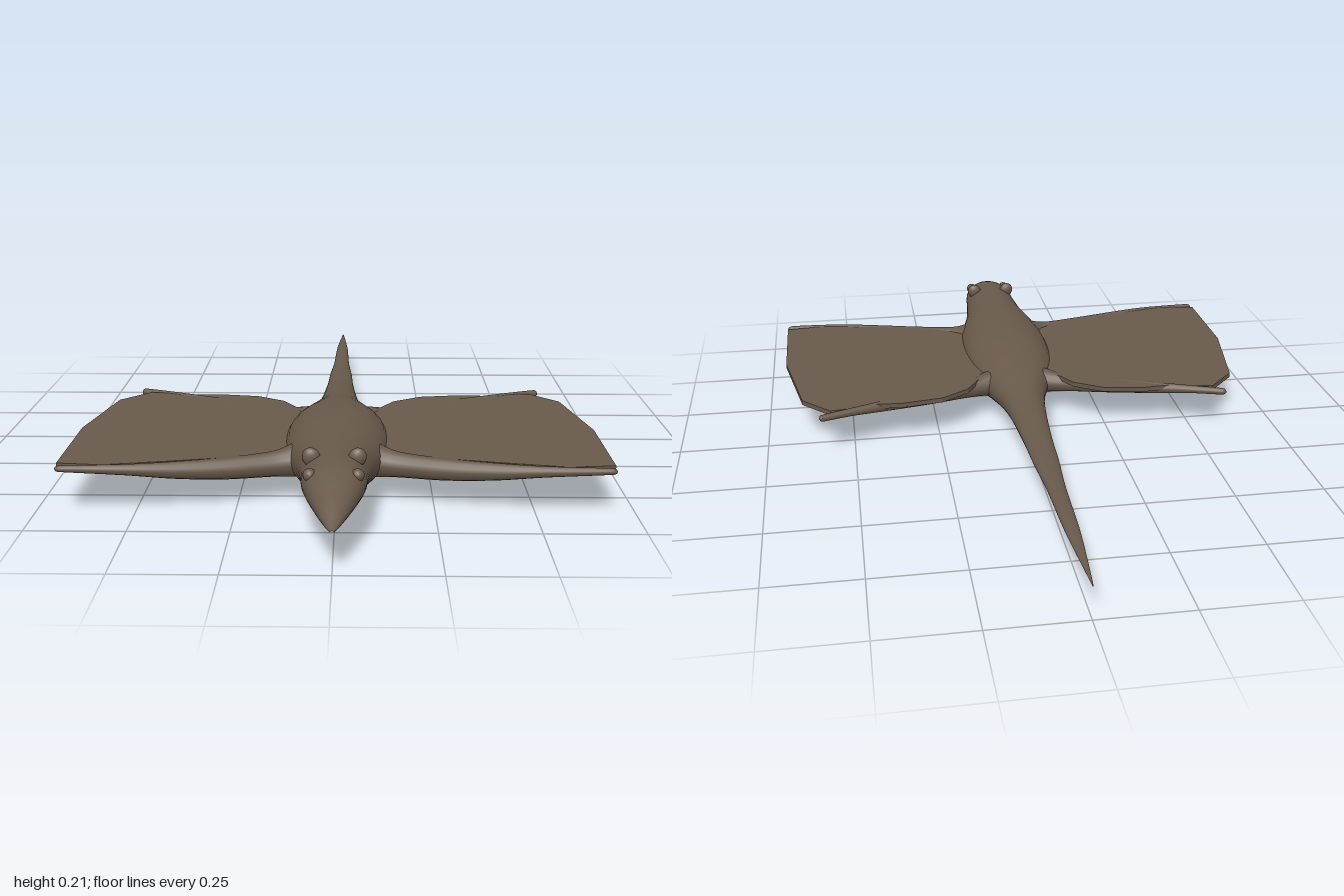
import * as THREE from 'three';

const fur = new THREE.MeshStandardMaterial({ color: 0x68594a });
fur.name = 'brown fur';

// Smooth closed loft; each section is [x, y, z, halfWidth, halfHeight]
function loft(sections, steps, sides) {
  const path = new THREE.CatmullRomCurve3(sections.map(s => new THREE.Vector3(s[0], s[1], s[2])), false, 'catmullrom');
  const size = new THREE.CatmullRomCurve3(sections.map(s => new THREE.Vector3(s[3], s[4], 0)), false, 'catmullrom');
  const up = new THREE.Vector3(0, 1, 0);
  const pos = [], index = [];
  for (let i = 0; i <= steps; i++) {
    const t = i / steps, c = path.getPoint(t), r = size.getPoint(t);
    const dir = path.getTangent(t).setY(0).normalize();
    const side = new THREE.Vector3().crossVectors(up, dir);
    for (let j = 0; j < sides; j++) {
      const a = j / sides * Math.PI * 2;
      const p = c.clone().addScaledVector(side, Math.cos(a) * Math.max(r.x, 0.0005))
        .addScaledVector(up, Math.sin(a) * Math.max(r.y, 0.0005));
      pos.push(p.x, p.y, p.z);
      if (i < steps) {
        const k = (j + 1) % sides, n = i * sides;
        index.push(n + j, n + k, n + sides + j, n + k, n + sides + k, n + sides + j);
      }
    }
  }
  const g = new THREE.BufferGeometry();
  g.setAttribute('position', new THREE.Float32BufferAttribute(pos, 3));
  g.setIndex(index);
  g.computeVertexNormals();
  return g;
}

export function createModel() {
  const model = new THREE.Group();
  const add = (name, geometry) => {
    const mesh = new THREE.Mesh(geometry, fur);
    mesh.name = name;
    model.add(mesh);
    return mesh;
  };

  // Body from nose to tail tip: [z, top, bottom, halfWidth]
  const body = [
    [1, 0.108, 0.102, 0.004], [0.97, 0.122, 0.098, 0.018], [0.9, 0.155, 0.09, 0.044],
    [0.8, 0.192, 0.08, 0.074], [0.7, 0.196, 0.065, 0.084], [0.6, 0.196, 0.04, 0.1],
    [0.5, 0.196, 0.02, 0.126], [0.4, 0.195, 0.007, 0.138], [0.3, 0.19, 0.003, 0.138],
    [0.2, 0.178, 0.012, 0.125], [0.1, 0.16, 0.03, 0.094], [0, 0.142, 0.046, 0.066],
    [-0.1, 0.13, 0.06, 0.053], [-0.2, 0.12, 0.068, 0.045], [-0.3, 0.113, 0.074, 0.039],
    [-0.4, 0.11, 0.078, 0.035], [-0.55, 0.108, 0.08, 0.025], [-0.75, 0.105, 0.085, 0.019],
    [-0.9, 0.099, 0.09, 0.009], [-1, 0.094, 0.092, 0.001],
  ];
  add('bodyAndTail', loft(body.map(([z, t, b, w]) => [0, (t + b) / 2, z, w, (t - b) / 2]), 114, 28));

  // Outline of the gliding membrane in x and z
  const outline = [[0.06, 0.5], [0.14, 0.515], [0.28, 0.56], [0.42, 0.59], [0.58, 0.62], [0.695, 0.608],
    [0.695, 0.31], [0.645, 0.03], [0.565, -0.055], [0.5, -0.045], [0.43, -0.03], [0.41, -0.015],
    [0.24, 0.018], [0.12, 0.1], [0.06, 0.13]];
  outline.splice(11, 2, [0.36, -0.035], [0.24, -0.016], [0.16, 0.035]);

  for (const s of [1, -1]) {
    const label = s > 0 ? 'left' : 'right';

    // Front arm
    add(label + 'FrontLeg', loft([
      [0.04, 0.105, 0.48, 0.06, 0.055], [0.1, 0.105, 0.505, 0.048, 0.045], [0.16, 0.1, 0.527, 0.032, 0.033],
      [0.28, 0.1, 0.565, 0.026, 0.028], [0.4, 0.106, 0.597, 0.02, 0.022], [0.52, 0.115, 0.622, 0.013, 0.014],
      [0.66, 0.12, 0.632, 0.009, 0.009], [0.688, 0.12, 0.632, 0.007, 0.007], [0.695, 0.12, 0.632, 0.0005, 0.0005],
    ].map(([x, ...r]) => [s * x, ...r]), 48, 14));

    // Hind leg
    add(label + 'HindLeg', loft([
      [0.03, 0.1, 0.155, 0.05, 0.045], [0.09, 0.1, 0.125, 0.038, 0.036], [0.15, 0.1, 0.095, 0.024, 0.026],
      [0.28, 0.105, 0.045, 0.021, 0.023], [0.4, 0.112, -0.008, 0.016, 0.017], [0.5, 0.118, -0.05, 0.012, 0.012],
      [0.58, 0.12, -0.082, 0.01, 0.01], [0.592, 0.12, -0.087, 0.008, 0.008], [0.598, 0.12, -0.089, 0.0005, 0.0005],
    ].map(([x, ...r]) => [s * x, ...r]), 48, 14));

    // Gliding membrane
    const shape = new THREE.Shape(outline.map(([x, z]) => new THREE.Vector2(s * x, z)));
    const membrane = new THREE.ExtrudeGeometry(shape, { depth: 0.014, bevelEnabled: false });
    membrane.rotateX(Math.PI / 2);
    add(label + 'Membrane', membrane).position.y = 0.127;

    // Ear
    const ear = add(label + 'Ear', new THREE.SphereGeometry(1, 16, 12));
    ear.scale.set(0.022, 0.024, 0.014);
    ear.position.set(s * 0.055, 0.185, 0.725);
    ear.rotation.z = -s * 0.4;

    // Eye
    const eye = add(label + 'Eye', new THREE.SphereGeometry(0.016, 16, 12));
    eye.position.set(s * 0.056, 0.168, 0.805);
  }
  return model;
}
